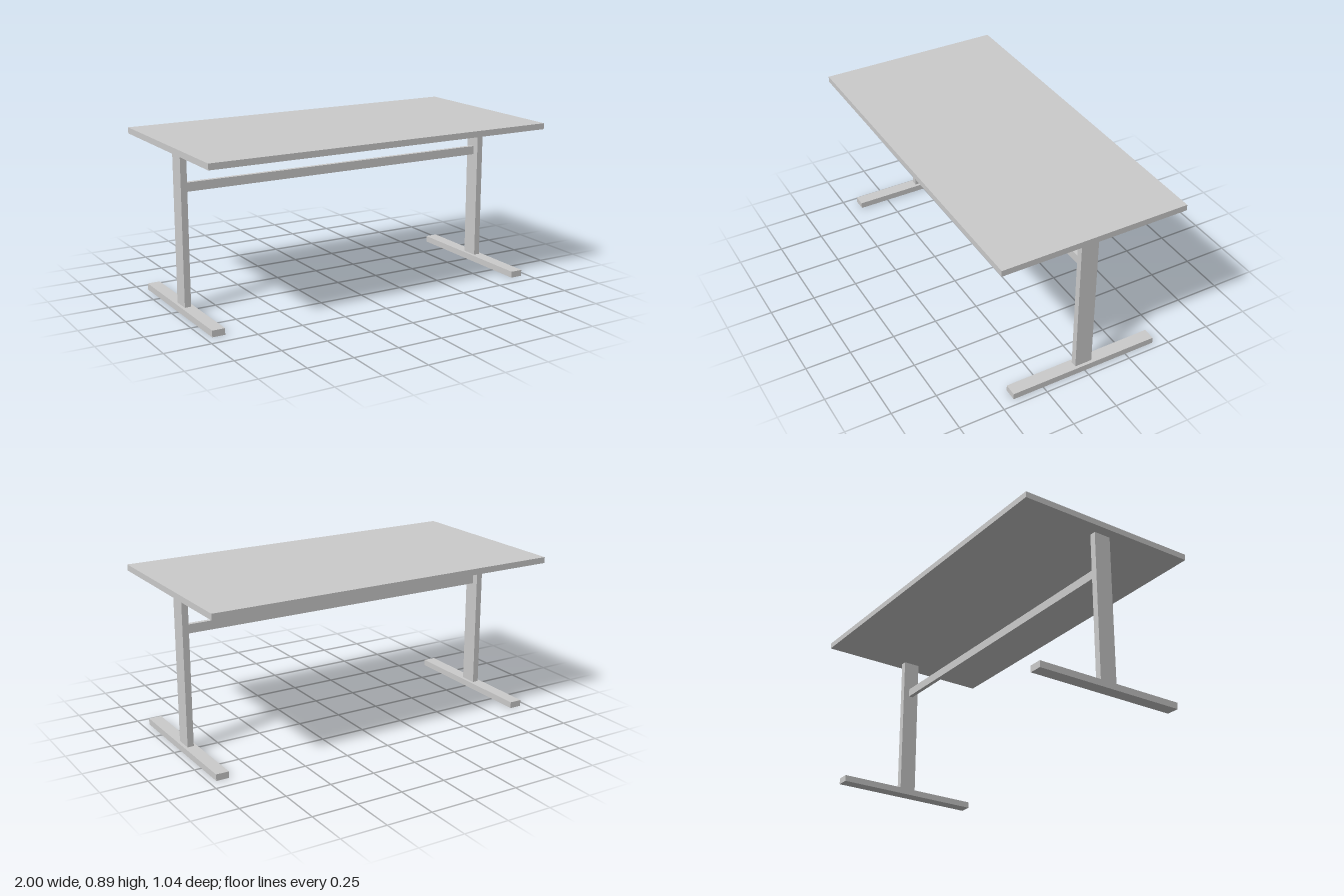
import * as THREE from 'three';

export function createModel() {
  const group = new THREE.Group();
  const material = new THREE.MeshStandardMaterial({ color: 0xcccccc, flatShading: true });

  // Box given by its size, its bottom height and its x position
  function addBox(name, width, height, depth, bottom, x = 0) {
    const mesh = new THREE.Mesh(new THREE.BoxGeometry(width, height, depth), material);
    mesh.name = name;
    mesh.position.set(x, bottom + height / 2, 0);
    group.add(mesh);
  }

  const legX = 0.927, legWidth = 0.035;
  const footHeight = 0.035, topBottom = 0.861;

  addBox('tabletop', 2, 0.033, 1.036, topBottom);

  // T-shaped supports, one at each end
  for (const [side, sign] of [['left', 1], ['right', -1]]) {
    addBox(side + 'Foot', 0.07, footHeight, 0.847, 0, sign * legX);
    addBox(side + 'Leg', legWidth, topBottom - footHeight, 0.097, footHeight, sign * legX);
  }

  // Rail between the inner faces of the legs
  addBox('crossRail', 2 * legX - legWidth, 0.048, 0.024, 0.638);

  return group;
}
